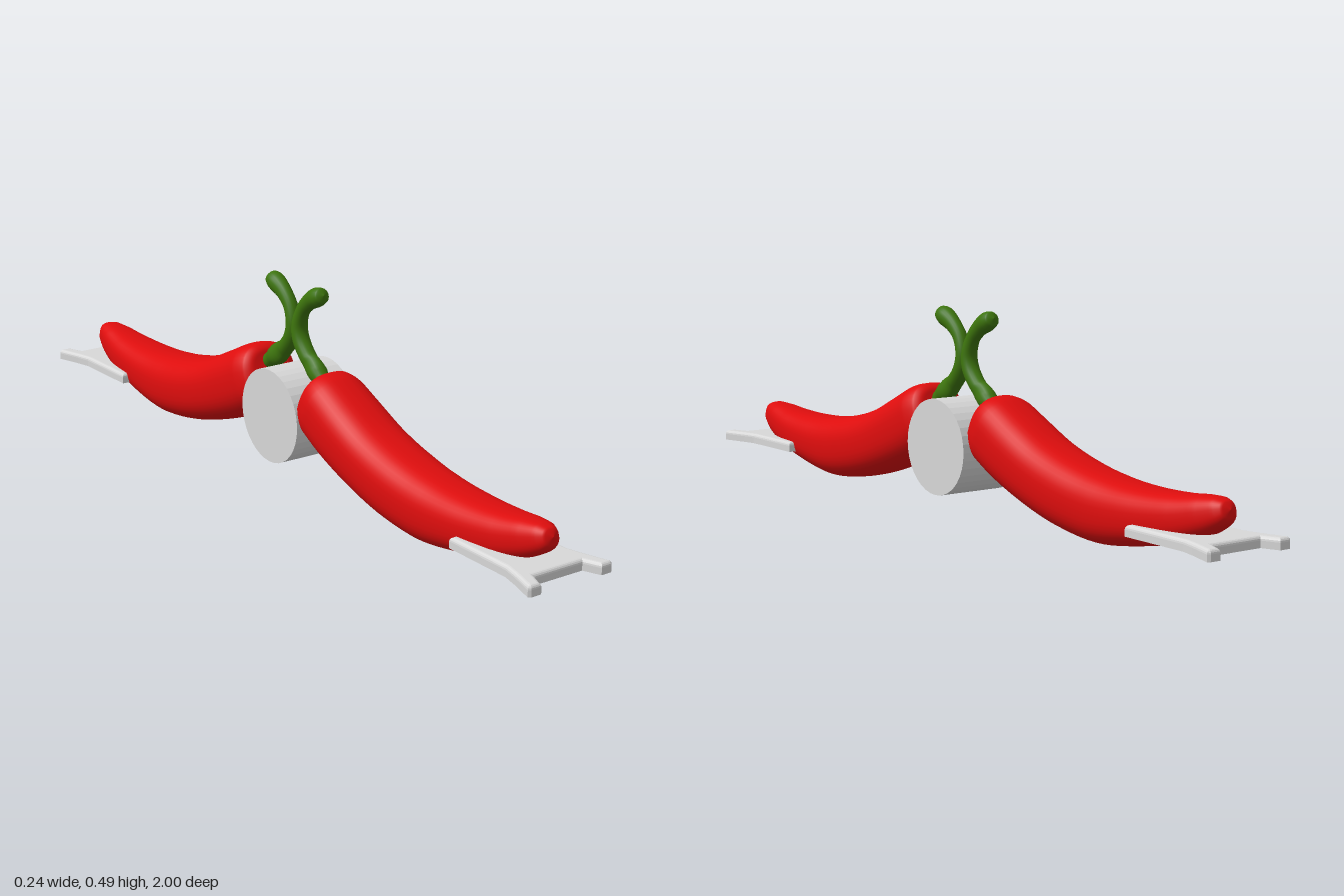
import * as THREE from 'three';

const red = new THREE.MeshStandardMaterial({ color: 0xdd0d0d });
red.name = 'pepper red';
const green = new THREE.MeshStandardMaterial({ color: 0x3d740d });
green.name = 'stem green';
const grey = new THREE.MeshStandardMaterial({ color: 0xd8d8d8 });
grey.name = 'light grey';

// Smooth loft along a path in the yz plane; stations are [z, y, halfHeight, halfWidth]
function loft(stations, rings, sides, power) {
  const path = new THREE.CatmullRomCurve3(stations.map(([z, y]) => new THREE.Vector3(0, y, z)));
  const size = new THREE.CatmullRomCurve3(stations.map(([, , h, w]) => new THREE.Vector3(w, h, 0)));
  const round = (v) => Math.sign(v) * Math.abs(v) ** (2 / power);
  const pos = [];
  const index = [];
  for (let i = 0; i <= rings; i++) {
    const t = i / rings;
    const c = path.getPoint(t);
    const s = size.getPoint(t);
    const d = path.getTangent(t);
    for (let j = 0; j < sides; j++) {
      const a = (j / sides) * Math.PI * 2;
      const n = round(Math.sin(a)) * s.y;
      pos.push(round(Math.cos(a)) * s.x, c.y + d.z * n, c.z - d.y * n);
      if (i === rings) continue;
      const p = i * sides + j;
      const q = i * sides + ((j + 1) % sides);
      index.push(p, q, p + sides, q, q + sides, p + sides);
    }
  }
  const g = new THREE.BufferGeometry();
  g.setAttribute('position', new THREE.Float32BufferAttribute(pos, 3));
  g.setIndex(index);
  g.computeVertexNormals();
  return g;
}

// Forked end plate with a rounded top edge and a flat underside
function plateGeometry() {
  const half = [[0.086, 0.70], [0.088, 0.89], [0.098, 0.93], [0.118, 0.995], [0.112, 1.0], [0.085, 1.0], [0.068, 0.958]];
  const mirrored = half.map(([x, z]) => [-x, z]).reverse();
  const shape = new THREE.Shape([...half, ...mirrored].map(([x, z]) => new THREE.Vector2(x, -z)));
  const g = new THREE.ExtrudeGeometry(shape, {
    depth: 0.016, bevelThickness: 0.01, bevelSize: 0.009, bevelOffset: -0.009, bevelSegments: 4,
  });
  const p = g.attributes.position;
  for (let i = 0; i < p.count; i++) p.setZ(i, Math.max(0, p.getZ(i)));
  g.rotateX(-Math.PI / 2);
  g.translate(0, 0.053, 0);
  g.computeVertexNormals();
  return g;
}

function mesh(name, geometry, material) {
  const m = new THREE.Mesh(geometry, material);
  m.name = name;
  return m;
}

export function createModel() {
  const model = new THREE.Group();
  model.name = 'pepperHandlePair';

  // Pepper body, from the blunt stem end to the upturned tip
  const pepper = loft([
    [0.100, 0.228, 0, 0], [0.102, 0.227, 0.055, 0.052], [0.114, 0.222, 0.078, 0.075],
    [0.15, 0.206, 0.087, 0.086], [0.22, 0.172, 0.087, 0.089], [0.32, 0.131, 0.083, 0.089],
    [0.43, 0.100, 0.082, 0.088], [0.55, 0.082, 0.079, 0.083], [0.67, 0.085, 0.067, 0.075],
    [0.79, 0.099, 0.055, 0.062], [0.87, 0.118, 0.044, 0.047], [0.915, 0.132, 0.032, 0.033],
    [0.932, 0.138, 0.02, 0.021], [0.939, 0.14, 0, 0],
  ], 78, 40, 2.5);

  // Stem bending inward to touch its twin, then away again to a knobbed end
  const stem = loft([
    [0.13, 0.245, 0.02, 0.02], [0.10, 0.268, 0.021, 0.021], [0.05, 0.305, 0.021, 0.021],
    [0.018, 0.345, 0.02, 0.022], [0.012, 0.38, 0.018, 0.021], [0.027, 0.42, 0.018, 0.018],
    [0.055, 0.448, 0.021, 0.019], [0.085, 0.465, 0.024, 0.023], [0.105, 0.473, 0.019, 0.019],
    [0.113, 0.476, 0, 0],
  ], 54, 20, 2);
  const plate = plateGeometry();

  ['front', 'back'].forEach((side, i) => {
    const half = new THREE.Group();
    half.name = side + 'Half';
    half.add(
      mesh(side + 'Pepper', pepper, red),
      mesh(side + 'Stem', stem, green),
      mesh(side + 'ForkedPlate', plate, grey),
    );
    half.rotation.y = i * Math.PI;
    model.add(half);
  });

  // Faceted hub between the peppers
  const hub = new THREE.CylinderGeometry(0.118, 0.118, 0.176, 36).toNonIndexed();
  hub.computeVertexNormals();
  hub.rotateZ(Math.PI / 2);
  hub.translate(0.006, 0.158, 0);
  model.add(mesh('hub', hub, grey));
  return model;
}
